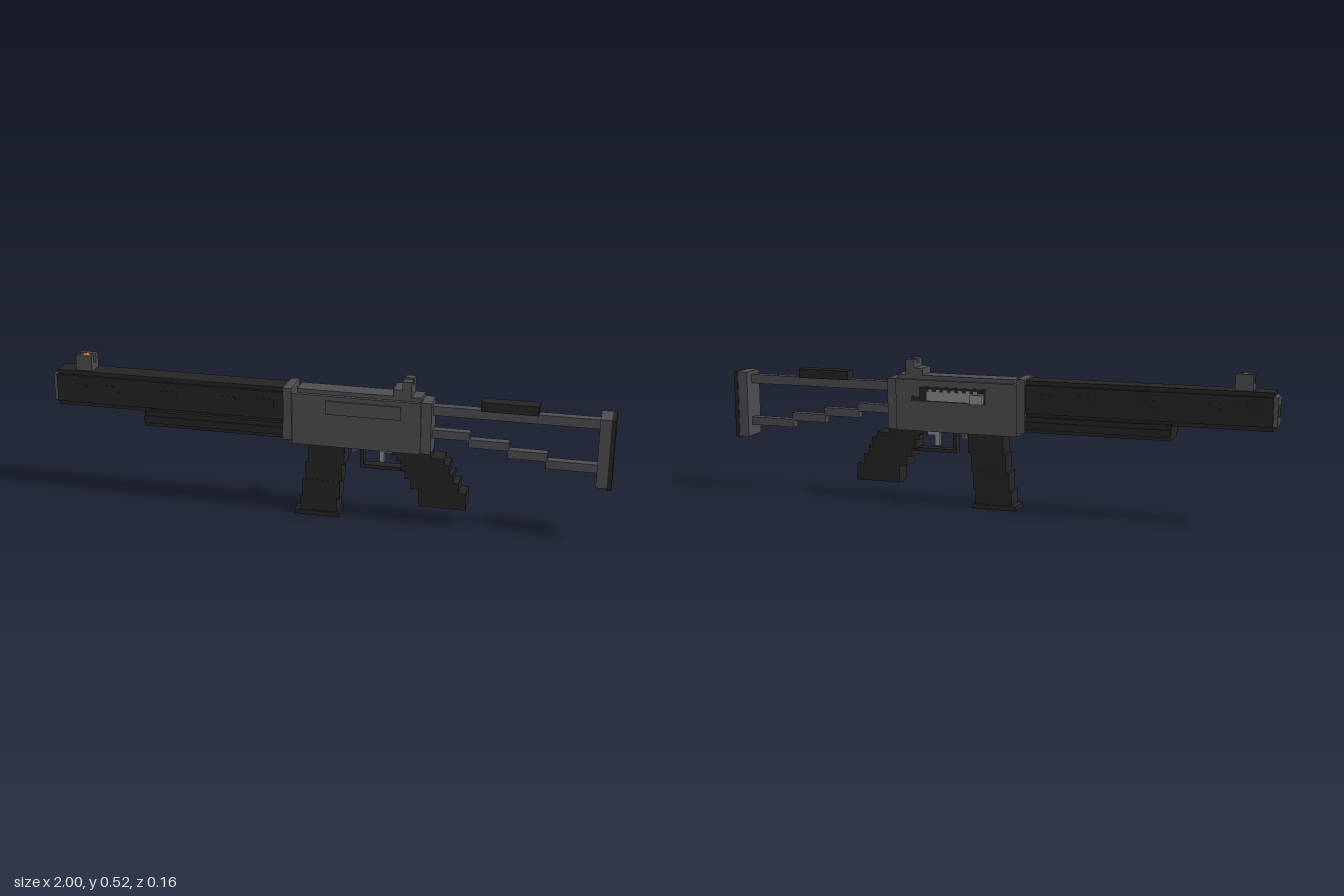
import * as THREE from 'three';

const mat = (name, color) => {
  const m = new THREE.MeshStandardMaterial({ color });
  m.name = name;
  return m;
};

export function createModel() {
  const model = new THREE.Group();
  model.name = 'blockRifle';
  const black = mat('blackPolymer', 0x242424);
  const grey = mat('gunmetal', 0x4c4c51);
  const silver = mat('steel', 0x8a8a8a);
  const orange = mat('orangeSight', 0xe0852a);

  // Box given by its limits along x, y and z
  const box = (name, m, x0, x1, y0, y1, z0, z1) => {
    const mesh = new THREE.Mesh(new THREE.BoxGeometry(x1 - x0, y1 - y0, z1 - z0), m);
    mesh.position.set((x0 + x1) / 2, (y0 + y1) / 2, (z0 + z1) / 2);
    mesh.name = name;
    model.add(mesh);
  };
  // Box centred on the bore plane z = 0.02
  const mid = (name, m, x0, x1, y0, y1, half) =>
    box(name, m, x0, x1, y0, y1, 0.02 - half, 0.02 + half);

  // Handguard: stepped section, with a wider and deeper rear half
  mid('handguardCore', black, -0.985, -0.135, 0.34, 0.47, 0.04);
  mid('handguardSides', black, -0.985, -0.135, 0.355, 0.455, 0.05);
  mid('foreGrip', black, -0.65, -0.135, 0.29, 0.345, 0.054);
  mid('foreGripSides', black, -0.65, -0.135, 0.302, 0.328, 0.06);
  for (const x of [-0.9, -0.78, -0.56, -0.34, -0.2])
    mid('handguardRib', black, x - 0.03, x + 0.03, 0.4, 0.425, 0.052);

  // Muzzle ring around the dark bore
  for (const s of [-1, 1]) {
    box('muzzleCheek', grey, -1, -0.98, 0.355, 0.455, 0.02 + s * 0.03 - 0.012, 0.02 + s * 0.03 + 0.012);
    const y = 0.405 + s * 0.035;
    mid('muzzleBar', grey, -1, -0.98, y - 0.015, y + 0.015, 0.018);
  }

  // Collar and receiver
  mid('collar', grey, -0.135, -0.105, 0.285, 0.475, 0.05);
  mid('collarSides', grey, -0.135, -0.105, 0.285, 0.475, 0.058);
  mid('receiver', grey, -0.105, 0.35, 0.27, 0.455, 0.05);
  mid('receiverRear', grey, 0.35, 0.385, 0.27, 0.455, 0.042);
  mid('topCover', grey, -0.09, 0.35, 0.455, 0.47, 0.036);
  box('sidePanel', grey, 0.015, 0.28, 0.39, 0.438, 0.069, 0.076);

  // Ejection port, bolt and charging handle on the far side
  box('portRecess', black, 0.01, 0.26, 0.378, 0.432, -0.033, -0.029);
  box('portNotch', black, 0.26, 0.29, 0.378, 0.395, -0.033, -0.029);
  box('bolt', silver, 0.015, 0.23, 0.383, 0.415, -0.036, -0.031);
  for (let i = 0; i < 7; i++)
    box('boltTooth', silver, 0.04 + i * 0.028, 0.054 + i * 0.028, 0.415, 0.423, -0.036, -0.031);
  box('chargingRod', silver, 0.018, 0.042, 0.392, 0.409, -0.065, -0.033);
  box('chargingKnob', silver, 0.006, 0.054, 0.385, 0.418, -0.08, -0.064);

  // Front sight: two ears around an orange post
  mid('frontSightBase', grey, -0.915, -0.855, 0.47, 0.492, 0.03);
  for (const s of [-1, 1])
    box('frontSightEar', grey, -0.915, -0.855, 0.49, 0.525, 0.02 + s * 0.02 - 0.01, 0.02 + s * 0.02 + 0.01);
  mid('frontSightPost', orange, -0.9, -0.872, 0.49, 0.524, 0.009);

  // Rear sight with a square notch
  mid('rearSightBase', grey, 0.25, 0.315, 0.468, 0.495, 0.04);
  for (const s of [-1, 1])
    box('rearSightEar', grey, 0.283, 0.315, 0.495, 0.525, 0.02 + s * 0.0245 - 0.0155, 0.02 + s * 0.0245 + 0.0155);
  mid('rearSightWeb', grey, 0.283, 0.315, 0.495, 0.508, 0.009);

  // Magazine, stepping forward as it goes down: [x0, x1, y0, y1, half width]
  for (const [x0, x1, y0, y1, h] of [
    [-0.05, 0.08, 0.2, 0.275, 0.037], [-0.06, 0.07, 0.135, 0.2, 0.036],
    [-0.072, 0.063, 0.068, 0.135, 0.037], [-0.082, 0.053, 0.01, 0.068, 0.036],
    [-0.1, 0.062, 0, 0.016, 0.041]]) mid('magazine', black, x0, x1, y0, y1, h);

  // Pistol grip, stepping back as it goes down
  for (const [x0, x1, y0, y1] of [
    [0.25, 0.385, 0.255, 0.275], [0.265, 0.43, 0.235, 0.255], [0.28, 0.45, 0.2, 0.235],
    [0.295, 0.465, 0.17, 0.2], [0.315, 0.485, 0.135, 0.17], [0.345, 0.512, 0.072, 0.135]])
    mid('pistolGrip', black, x0, x1, y0, y1, 0.036);

  // Trigger group
  mid('triggerGuardFront', black, 0.132, 0.145, 0.19, 0.272, 0.018);
  mid('triggerGuardBottom', black, 0.132, 0.31, 0.19, 0.203, 0.018);
  mid('triggerTop', silver, 0.2, 0.245, 0.25, 0.272, 0.009);
  mid('trigger', silver, 0.2, 0.216, 0.213, 0.252, 0.009);
  mid('magazineRelease', grey, 0.1, 0.114, 0.24, 0.272, 0.015);

  // Skeleton stock
  mid('stockUpperBar', grey, 0.38, 0.95, 0.405, 0.438, 0.016);
  mid('cheekPad', black, 0.55, 0.745, 0.436, 0.469, 0.025);
  [[0.38, 0.515, 0.322], [0.515, 0.65, 0.298], [0.65, 0.78, 0.272], [0.78, 0.95, 0.247]]
    .forEach(([x0, x1, y]) => mid('stockLowerBar', grey, x0 - 0.004, x1, y, y + 0.03, 0.016));
  mid('buttPlate', grey, 0.948, 0.985, 0.207, 0.45, 0.048);
  mid('buttPad', black, 0.985, 1, 0.202, 0.45, 0.05);
  return model;
}
